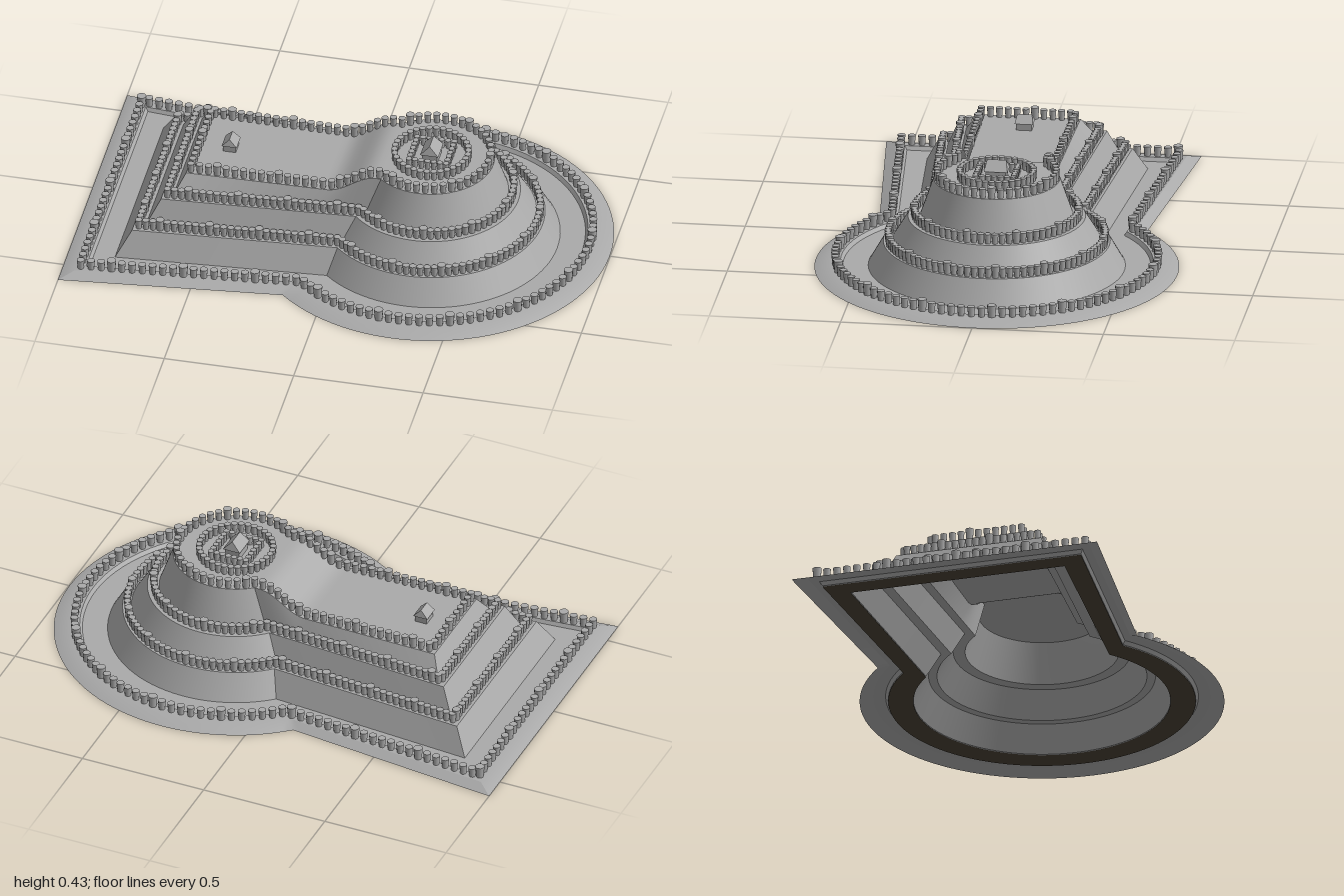
import * as THREE from 'three';
import { mergeGeometries, toCreasedNormals } from 'three/addons/utils/BufferGeometryUtils.js';

const CX = 0.31; // centre of the round mound
const TERRACE = [0.02, 0.105, 0.205];

// Summit height: low square platform, ramp, high round platform
const summitY = (x) => 0.275 + 0.08 * THREE.MathUtils.smoothstep(x, -0.05, 0.13);

// Keyhole loop: front edge x, front half-width, waist half-width, circle radius
function keyhole([xf, wf, ww, r], height) {
  const y = typeof height === 'function' ? height : () => height;
  const xw = CX - Math.sqrt(r * r - ww * ww);
  const start = Math.atan2(ww, xw - CX);
  const pts = [];
  const add = (x, z) => pts.push(new THREE.Vector3(x, y(x), z));
  const side = 30, arc = 72;
  for (let i = 0; i < side; i++) add(xf + (xw - xf) * i / side, wf + (ww - wf) * i / side);
  for (let i = 0; i <= arc; i++) {
    const a = start * (1 - 2 * i / arc);
    add(CX + r * Math.cos(a), r * Math.sin(a));
  }
  for (let i = side - 1; i >= 0; i--) add(xf + (xw - xf) * i / side, -wf - (ww - wf) * i / side);
  return pts;
}

// Surface through loops listed from the outside inwards
function loft(loops, flip = false) {
  const pos = [], index = [], n = loops[0].length;
  loops.forEach((l) => l.forEach((p) => pos.push(p.x, p.y, p.z)));
  for (let k = 0; k < loops.length - 1; k++) {
    for (let i = 0; i < n; i++) {
      const j = (i + 1) % n;
      const a = k * n + i, b = k * n + j, c = b + n, d = a + n;
      if (flip) index.push(a, c, b, a, d, c);
      else index.push(a, b, c, a, c, d);
    }
  }
  const g = new THREE.BufferGeometry();
  g.setAttribute('position', new THREE.Float32BufferAttribute(pos, 3));
  g.setIndex(index);
  return toCreasedNormals(g, 0.4);
}

// One flared clay cylinder
function clayPot(p, radius, height) {
  const g = new THREE.CylinderGeometry(radius, radius * 0.78, height, 10);
  return g.translate(p.x, p.y + height / 2, p.z);
}

// Evenly spaced row of cylinders around a closed path, every seventh one larger
function potRow(pts, spacing, radius, height) {
  const path = new THREE.CurvePath();
  pts.forEach((p, i) => path.add(new THREE.LineCurve3(p, pts[(i + 1) % pts.length])));
  const n = Math.round(path.getLength() / spacing);
  const pots = path.getSpacedPoints(n).slice(0, n).map((p, i) =>
    i % 7 === 3 ? clayPot(p, radius * 1.2, height * 1.22) : clayPot(p, radius, height));
  return mergeGeometries(pots);
}

// Small house: box walls and a roof with its ridge along z
function house(w, d, wallH, roofH, material) {
  const g = new THREE.Group();
  const walls = new THREE.Mesh(new THREE.BoxGeometry(w * 0.85, wallH, d * 0.85), material);
  walls.position.y = wallH / 2;
  walls.name = 'houseWalls';
  const shape = new THREE.Shape();
  shape.moveTo(-w / 2, 0);
  shape.lineTo(w / 2, 0);
  shape.lineTo(0, roofH);
  shape.closePath();
  const roofGeo = new THREE.ExtrudeGeometry(shape, { depth: d, bevelEnabled: false }).translate(0, 0, -d / 2);
  const p = roofGeo.attributes.position;
  for (let i = 0; i < p.count; i++) if (p.getY(i) > roofH / 2) p.setZ(i, p.getZ(i) * 0.8);
  roofGeo.computeVertexNormals();
  const roof = new THREE.Mesh(roofGeo, material);
  roof.position.y = wallH;
  roof.name = 'houseRoof';
  g.add(walls, roof);
  return g;
}

export function createModel() {
  const model = new THREE.Group();
  model.name = 'keyholeMound';
  const stone = new THREE.MeshStandardMaterial({ color: 0xaaaaaa, side: THREE.DoubleSide });
  stone.name = 'greyStone';
  const earth = new THREE.MeshStandardMaterial({ color: 0x4a4234 });
  earth.name = 'darkEarth';
  const add = (geometry, name, material = stone) => {
    const m = new THREE.Mesh(geometry, material);
    m.name = name;
    model.add(m);
  };

  // Outer bank and moat
  const moatOuter = [-0.9, 0.508, 0.432, 0.58];
  const base = [-0.82, 0.42, 0.36, 0.485];
  add(loft([
    keyhole([-1, 0.6, 0.51, 0.688], 0),
    keyhole([-0.945, 0.553, 0.472, 0.635], TERRACE[0]),
    keyhole([-0.91, 0.517, 0.441, 0.59], TERRACE[0]),
    keyhole(moatOuter, 0.006),
  ]), 'outerBank');
  add(loft([keyhole(moatOuter, 0.006), keyhole(base, 0.006)]), 'moatFloor');
  add(loft([keyhole(moatOuter, 0.002), keyhole(base, 0.002)], true), 'moatUnderside', earth);

  // Three-tiered mound
  const summitEdge = keyhole([-0.595, 0.195, 0.18, 0.238], summitY);
  add(loft([
    keyhole(base, 0.006),
    keyhole([-0.765, 0.37, 0.31, 0.428], TERRACE[1]),
    keyhole([-0.722, 0.327, 0.272, 0.396], TERRACE[1]),
    keyhole([-0.672, 0.285, 0.233, 0.335], TERRACE[2]),
    keyhole([-0.632, 0.245, 0.2, 0.29], TERRACE[2]),
    summitEdge,
  ]), 'moundTiers');
  add(loft([summitEdge, summitEdge.map((p) => new THREE.Vector3(p.x, p.y, 0))]), 'summitPlatform');

  // Rows of clay cylinders on the bank, the terraces and the summit
  add(potRow(keyhole([-0.927, 0.532, 0.455, 0.61], TERRACE[0]), 0.039, 0.015, 0.038), 'bankCylinders');
  add(potRow(keyhole([-0.744, 0.348, 0.29, 0.41], TERRACE[1]), 0.027, 0.0135, 0.038), 'lowerTerraceCylinders');
  add(potRow(keyhole([-0.652, 0.265, 0.216, 0.311], TERRACE[2]), 0.027, 0.0135, 0.038), 'upperTerraceCylinders');
  add(potRow(keyhole([-0.58, 0.18, 0.168, 0.225], summitY), 0.034, 0.0135, 0.037), 'summitCylinders');

  // Round and square enclosures on the high summit
  const circle = [], square = [];
  for (let i = 0; i < 34; i++) {
    const a = i / 34 * Math.PI * 2;
    circle.push(clayPot(new THREE.Vector3(CX + 0.14 * Math.cos(a), 0.355, 0.14 * Math.sin(a)), 0.0125, 0.036));
  }
  for (let i = 0; i < 6; i++) {
    const t = -0.072 + i * 0.024;
    for (const [x, z] of [[t, -0.072], [0.072, t], [-t, 0.072], [-0.072, -t]]) {
      square.push(clayPot(new THREE.Vector3(CX + x, 0.355, z), 0.0115, 0.034));
    }
  }
  add(mergeGeometries(circle), 'roundEnclosure');
  add(mergeGeometries(square), 'squareEnclosure');

  // Two clay houses
  const highHouse = house(0.07, 0.09, 0.035, 0.038, stone);
  highHouse.position.set(CX, 0.355, 0);
  highHouse.name = 'highHouse';
  const lowHouse = house(0.058, 0.07, 0.026, 0.03, stone);
  lowHouse.position.set(-0.465, 0.275, 0);
  lowHouse.name = 'lowHouse';
  model.add(highHouse, lowHouse);
  return model;
}
